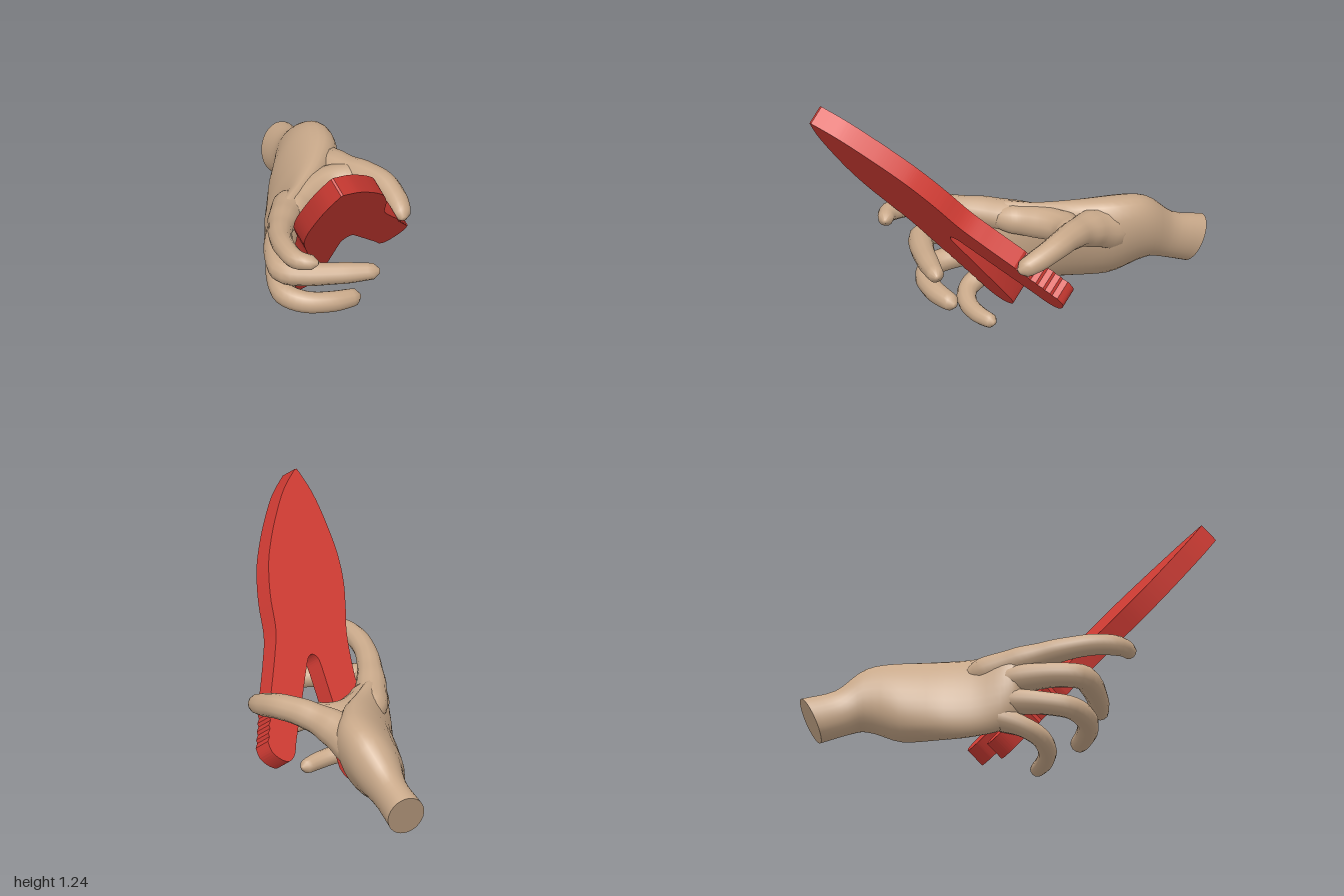
import * as THREE from 'three';
import { toCreasedNormals } from 'three/addons/utils/BufferGeometryUtils.js';

const skin = new THREE.MeshStandardMaterial({ color: 0xc9a98a });
const red = new THREE.MeshStandardMaterial({ color: 0xd23c34 });
const V = (a) => new THREE.Vector3(...a);

// Skin over a list of equal rings, with a sharp flat start and a closed end
function loft(rings) {
  const m = rings[0].length, n = rings.length, pos = [], idx = [];
  const mid = (r) => r.reduce((s, p) => s.add(p), new THREE.Vector3()).divideScalar(m);
  const put = (p) => pos.push(p.x, p.y, p.z) / 3 - 1;
  rings.forEach((r) => r.forEach(put));
  for (let i = 0; i < n - 1; i++) for (let j = 0; j < m; j++) {
    const k = (j + 1) % m, a = i * m + j, b = i * m + k, c = a + m, d = b + m;
    idx.push(a, b, d, a, d, c);
  }
  const s = put(mid(rings[0])), cap = rings[0].map(put), e = put(mid(rings[n - 1]));
  for (let j = 0; j < m; j++) {
    const k = (j + 1) % m;
    idx.push(s, cap[k], cap[j], e, (n - 1) * m + j, (n - 1) * m + k);
  }
  const g = new THREE.BufferGeometry();
  g.setAttribute('position', new THREE.Float32BufferAttribute(pos, 3));
  g.setIndex(idx);
  g.computeVertexNormals();
  return g;
}

// Tapered limb along a curve with a rounded tip; radii are spread evenly
function finger(name, points, radii) {
  const curve = new THREE.CatmullRomCurve3(points.map(V)), n = 32, m = 12;
  const fr = curve.computeFrenetFrames(n), len = curve.getLength(), rings = [];
  for (let i = 0; i <= n; i++) {
    const u = i / n, x = u * (radii.length - 1), k = Math.min(Math.floor(x), radii.length - 2);
    let r = THREE.MathUtils.lerp(radii[k], radii[k + 1], THREE.MathUtils.smoothstep(x, k, k + 1));
    const q = Math.min(1, (1 - u) * len / r);
    r *= Math.max(0.3, Math.sqrt(1 - (1 - q) ** 2));
    const c = curve.getPointAt(u);
    rings.push(Array.from({ length: m }, (_, j) => {
      const a = j / m * Math.PI * 2;
      return c.clone().addScaledVector(fr.normals[i], r * Math.cos(a))
        .addScaledVector(fr.binormals[i], r * Math.sin(a));
    }));
  }
  const mesh = new THREE.Mesh(loft(rings), skin);
  mesh.name = name;
  return mesh;
}

// Palm and wrist: oval sections [z, centre x, centre y, half width, half height, lean]
function palm() {
  const s = [
    [-0.94, -0.265, 0.235, 0.092, 0.115, 0],
    [-0.80, -0.215, 0.29, 0.09, 0.12, 0.1],
    [-0.68, -0.165, 0.37, 0.125, 0.18, 0.25],
    [-0.50, -0.165, 0.345, 0.15, 0.235, 0.33],
    [-0.32, -0.2, 0.325, 0.125, 0.24, 0.36],
    [-0.15, -0.24, 0.31, 0.09, 0.23, 0.27],
    [0.0, -0.27, 0.32, 0.08, 0.21, 0.1],
    [0.07, -0.28, 0.33, 0.06, 0.17, 0],
    [0.1, -0.285, 0.335, 0.02, 0.08, 0],
  ];
  const centre = new THREE.CatmullRomCurve3(s.map((p) => V([p[1], p[2], p[0]])));
  const size = new THREE.CatmullRomCurve3(s.map((p) => V([p[3], p[4], p[5]])));
  const rings = [], n = 32, m = 28;
  for (let i = 0; i <= n; i++) {
    const c = centre.getPoint(i / n), h = size.getPoint(i / n);
    const tilt = Math.max(0, 1 - i / 8);      // the wrist is cut at a slant
    rings.push(Array.from({ length: m }, (_, j) => {
      const a = j / m * Math.PI * 2, y = h.y * Math.sin(a), x = h.x * Math.cos(a) + h.z * y;
      return new THREE.Vector3(c.x + x, c.y + y, c.z - tilt * (0.45 * y + 0.25 * x));
    }));
  }
  const mesh = new THREE.Mesh(loft(rings), skin);
  mesh.name = 'palm';
  return mesh;
}

// Flat forked clip with a leaf-shaped blade and ridged grips on both legs
function clip() {
  const shape = new THREE.Shape();
  const spline = (pts) => shape.splineThru(pts.map((p) => new THREE.Vector2(...p)));
  const ridges = (x0, y0, x1, y1, inward) => {
    const n = 6;
    for (let i = 0; i <= n; i++) {
      const x = THREE.MathUtils.lerp(x0, x1, i / n), y = THREE.MathUtils.lerp(y0, y1, i / n);
      shape.lineTo(x, y);
      if (i < n) shape.lineTo(x + (x1 - x0) * 0.6 / n + inward, y + (y1 - y0) * 0.6 / n);
    }
  };
  shape.moveTo(0.012, -0.004);
  shape.lineTo(0, -0.002);
  spline([[-0.07, -0.105], [-0.124, -0.225], [-0.18, -0.4], [-0.2, -0.55],
    [-0.193, -0.69], [-0.18, -0.82], [-0.186, -0.95], [-0.203, -1.1]]);
  ridges(-0.203, -1.1, -0.237, -1.4, 0.009);
  spline([[-0.234, -1.48], [-0.205, -1.535], [-0.15, -1.54], [-0.112, -1.495]]);
  shape.lineTo(0, -1.02);
  spline([[0.015, -0.98], [0.045, -0.962], [0.073, -0.98], [0.092, -1.03]]);
  shape.lineTo(0.213, -1.43);
  spline([[0.232, -1.5], [0.271, -1.54], [0.325, -1.532], [0.37, -1.5], [0.388, -1.45]]);
  ridges(0.388, -1.45, 0.33, -1.19, -0.008);
  spline([[0.28, -1.0], [0.253, -0.86], [0.26, -0.7], [0.253, -0.57], [0.233, -0.459],
    [0.18, -0.3], [0.1, -0.125], [0.012, -0.004]]);
  let g = new THREE.ExtrudeGeometry(shape, { depth: 0.1, bevelEnabled: false, curveSegments: 30 });
  g.translate(0, 0, -0.1);
  g = toCreasedNormals(g, 0.4);
  const mesh = new THREE.Mesh(g, red);
  mesh.name = 'forkedClip';
  // lean the clip: width, length and facing directions
  const d = V([0, 0.712, 0.702]).normalize();
  const w = V([0.87, 0.345, -0.35]).normalize();
  const f = w.clone().cross(d).normalize();
  mesh.quaternion.setFromRotationMatrix(new THREE.Matrix4().makeBasis(d.clone().cross(f), d, f));
  mesh.position.set(0, 1.18, 1);
  return mesh;
}

export function createModel() {
  const model = new THREE.Group();
  const hand = new THREE.Group();
  hand.name = 'hand';
  hand.add(
    palm(),
    finger('thumb', [[-0.16, 0.38, -0.62], [-0.08, 0.43, -0.48], [0.02, 0.475, -0.355], [0.13, 0.505, -0.262],
      [0.225, 0.505, -0.175], [0.28, 0.475, -0.08], [0.318, 0.435, 0.03]],
    [0.03, 0.11, 0.092, 0.072, 0.064, 0.058, 0.046]),
    // skin stretched between thumb and index finger
    finger('thumbWeb', [[0.16, 0.5, -0.24], [0.06, 0.48, -0.275], [-0.04, 0.465, -0.265],
      [-0.12, 0.455, -0.2], [-0.19, 0.45, -0.09], [-0.24, 0.455, 0.06]],
    [0.04, 0.075, 0.08, 0.082, 0.075, 0.05]),
    finger('indexFinger', [[-0.2, 0.4, -0.24], [-0.245, 0.445, -0.04], [-0.275, 0.485, 0.14], [-0.285, 0.52, 0.32],
      [-0.26, 0.543, 0.46], [-0.205, 0.548, 0.57], [-0.105, 0.55, 0.605]],
    [0.03, 0.085, 0.075, 0.06, 0.053, 0.05, 0.036]),
    finger('middleFinger', [[-0.26, 0.36, -0.1], [-0.29, 0.375, 0.1], [-0.3, 0.375, 0.28], [-0.27, 0.37, 0.39],
      [-0.17, 0.37, 0.415], [0, 0.375, 0.42], [0.195, 0.378, 0.405]], [0.05, 0.068, 0.06, 0.06, 0.053, 0.04]),
    finger('ringFinger', [[-0.26, 0.27, -0.1], [-0.285, 0.255, 0.06], [-0.295, 0.23, 0.22], [-0.265, 0.21, 0.34],
      [-0.17, 0.195, 0.39], [-0.04, 0.185, 0.375], [0.1, 0.17, 0.3]], [0.04, 0.063, 0.056, 0.056, 0.052, 0.044]),
    finger('littleFinger', [[-0.275, 0.2, -0.13], [-0.282, 0.165, 0], [-0.27, 0.12, 0.11], [-0.225, 0.085, 0.175],
      [-0.13, 0.06, 0.195], [-0.03, 0.045, 0.165], [0.067, 0.038, 0.1]], [0.03, 0.06, 0.05, 0.047, 0.043, 0.036]),
  );
  model.add(hand, clip());
  return model;
}
